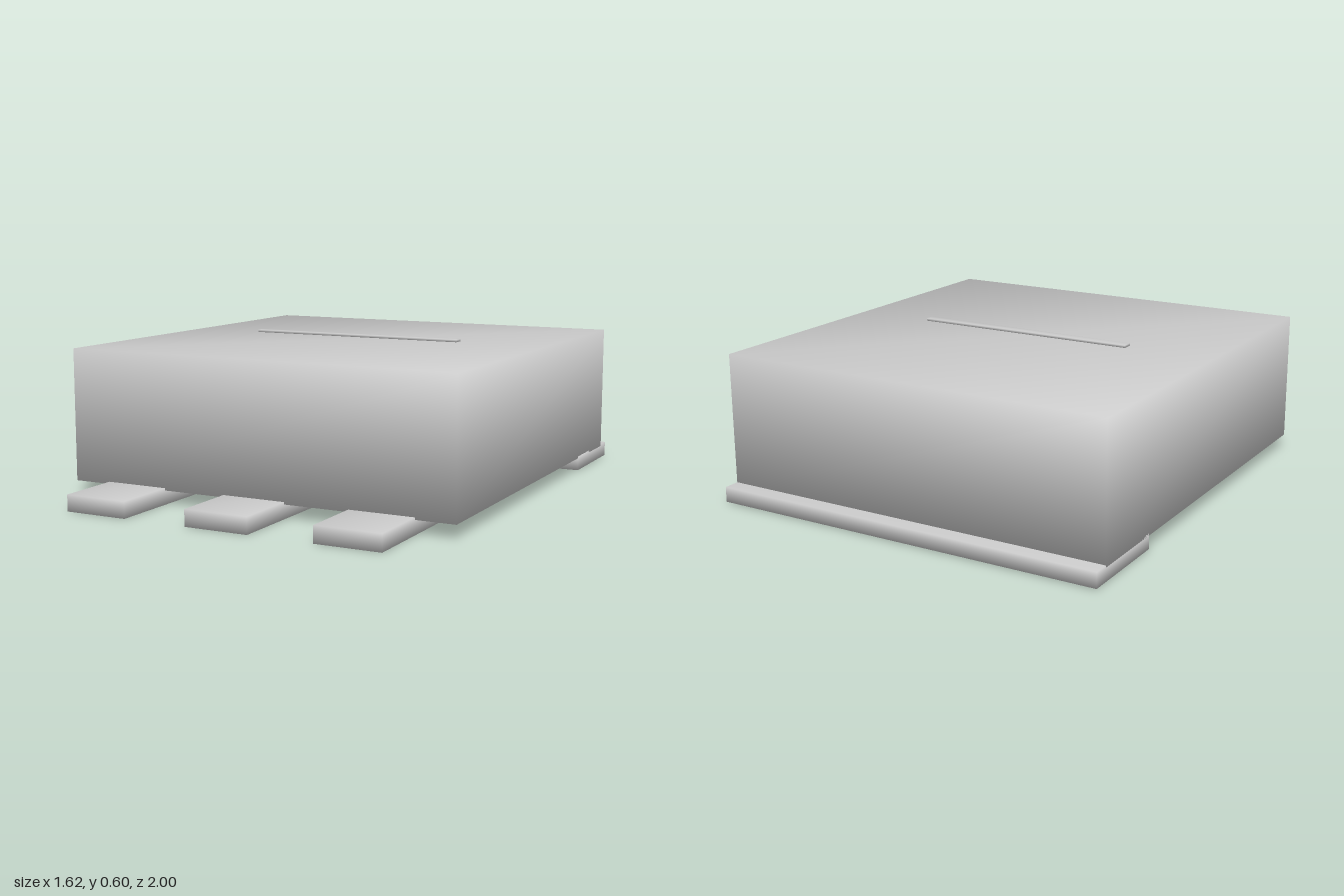
import * as THREE from 'three';
import { mergeVertices } from 'three/addons/utils/BufferGeometryUtils.js';

const grey = new THREE.MeshStandardMaterial({ color: 0xc8c8c8 });
grey.name = 'grey';

// Box between two corners, with corner vertices shared for smooth normals
function smoothBox(name, [x0, y0, z0], [x1, y1, z1]) {
  let geometry = new THREE.BoxGeometry(x1 - x0, y1 - y0, z1 - z0);
  geometry.deleteAttribute('normal');
  geometry.deleteAttribute('uv');
  geometry = mergeVertices(geometry);
  geometry.computeVertexNormals();
  geometry.translate((x0 + x1) / 2, (y0 + y1) / 2, (z0 + z1) / 2);
  const mesh = new THREE.Mesh(geometry, grey);
  mesh.name = name;
  return mesh;
}

export function createModel() {
  const model = new THREE.Group();
  model.name = 'chipPackage';

  // Main block
  model.add(smoothBox('body', [-0.81, 0.056, -0.935], [0.81, 0.58, 0.74]));

  // Thin marking bar hovering just above the top
  model.add(smoothBox('markingBar', [-0.46, 0.588, -0.122], [0.46, 0.598, -0.079]));

  // Full-width tab under the back edge
  model.add(smoothBox('backTab', [-0.81, 0.004, -1], [0.81, 0.064, -0.605]));

  // Three flat leads under the front edge
  const leads = new THREE.Group();
  leads.name = 'frontLeads';
  ['rightLead', 'middleLead', 'leftLead'].forEach((name, i) => {
    const x = (i - 1) * 0.523;
    leads.add(smoothBox(name, [x - 0.13, 0, 0.48], [x + 0.13, 0.065, 1]));
  });
  model.add(leads);

  return model;
}
